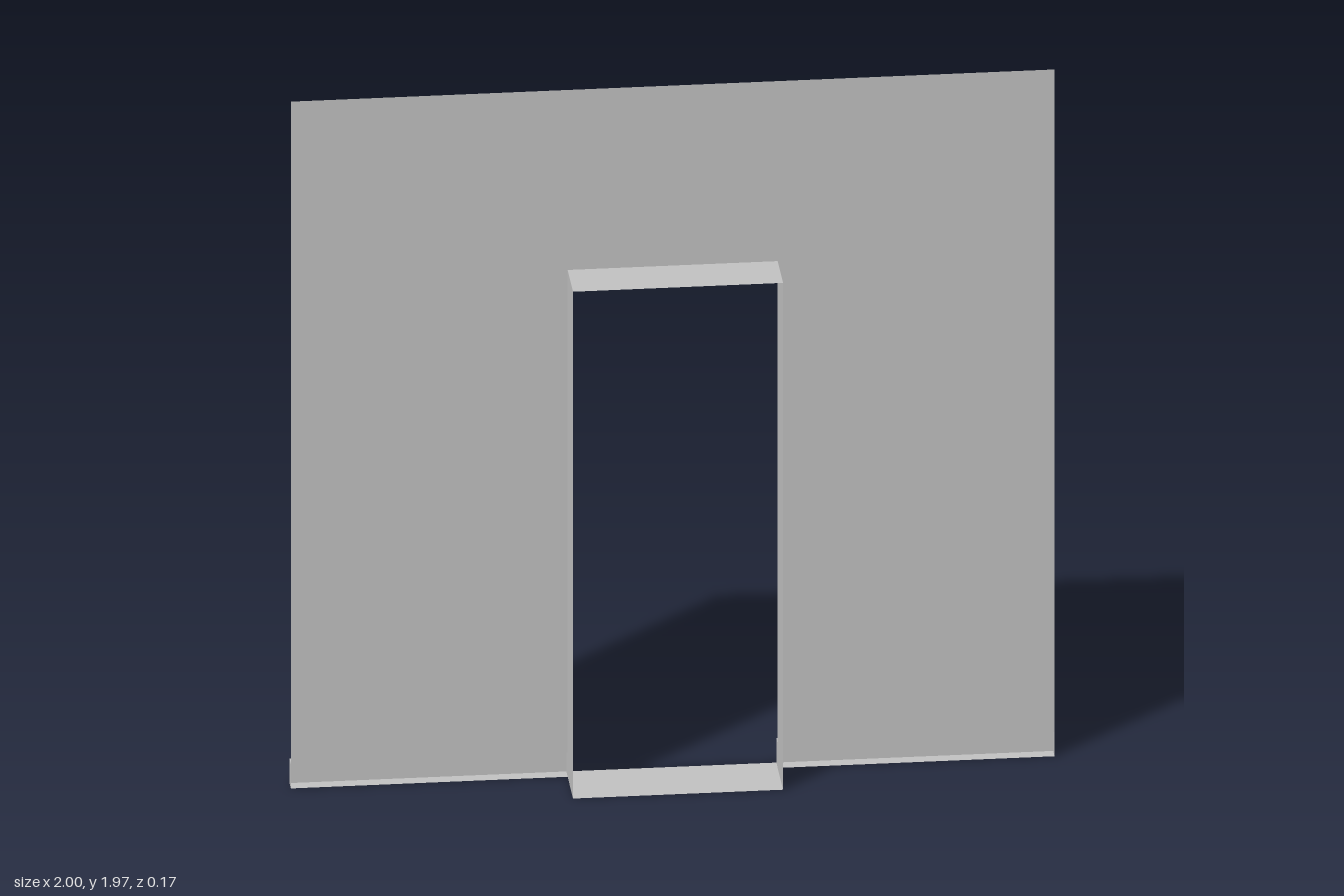
import * as THREE from 'three';

const W = 1, H = 1.965;           // wall half width and height
const DW = 0.275, DH = 1.45;      // doorway half width and height
const SH = 0.07;                  // skirting height
const ZW = -0.052, ZB = -0.086, ZF = 0.086; // wall plane, skirting back, frame front

export function createModel() {
  const model = new THREE.Group();
  model.name = 'doorwayWall';
  const grey = new THREE.MeshStandardMaterial({ color: 0xc0c0c0, side: THREE.DoubleSide });
  grey.name = 'plasterGrey';

  // Thin panel: size, centre, and rotation of a plane that faces +z
  function panel(parent, name, w, h, pos, rx = 0, ry = 0) {
    const mesh = new THREE.Mesh(new THREE.PlaneGeometry(w, h), grey);
    mesh.name = name;
    mesh.position.set(...pos);
    mesh.rotation.set(rx, ry, 0);
    parent.add(mesh);
  }
  const Q = Math.PI / 2;

  // Wall sheet with the doorway cut out, stopping above the skirting
  const outline = new THREE.Shape([
    [-W, SH], [-DW, SH], [-DW, DH], [DW, DH], [DW, SH], [W, SH], [W, H], [-W, H],
  ].map(([x, y]) => new THREE.Vector2(x, y)));
  const wall = new THREE.Mesh(new THREE.ShapeGeometry(outline).rotateY(Math.PI), grey);
  wall.name = 'wall';
  wall.position.z = ZW;
  model.add(wall);

  // Door lining: open sleeve reaching forward from the wall
  const lining = new THREE.Group();
  lining.name = 'doorLining';
  const depth = ZF - ZW, zMid = (ZF + ZW) / 2;
  for (const s of [-1, 1]) {
    panel(lining, s > 0 ? 'leftJamb' : 'rightJamb', depth, DH, [s * DW, DH / 2, zMid], 0, -s * Q);
  }
  panel(lining, 'lintel', 2 * DW, depth, [0, DH, zMid], Q);
  panel(lining, 'threshold', 2 * DW, ZF - ZB, [0, 0, (ZF + ZB) / 2], -Q);
  model.add(lining);

  // Skirting recesses: back, top, bottom and end panels, open towards the front
  const sd = ZW - ZB, sz = (ZW + ZB) / 2, len = W - DW;
  for (const s of [-1, 1]) {
    const skirting = new THREE.Group();
    skirting.name = s > 0 ? 'leftSkirting' : 'rightSkirting';
    const cx = s * (W + DW) / 2;
    panel(skirting, 'skirtingFace', len, SH, [cx, SH / 2, ZB], 0, Math.PI);
    panel(skirting, 'skirtingTop', len, sd, [cx, SH, sz], -Q);
    panel(skirting, 'skirtingBottom', len, sd, [cx, 0, sz], Q);
    panel(skirting, 'skirtingOuterEnd', sd, SH, [s * W, SH / 2, sz], 0, s * Q);
    panel(skirting, 'skirtingInnerEnd', sd, SH, [s * DW, SH / 2, sz], 0, -s * Q);
    model.add(skirting);
  }
  return model;
}
